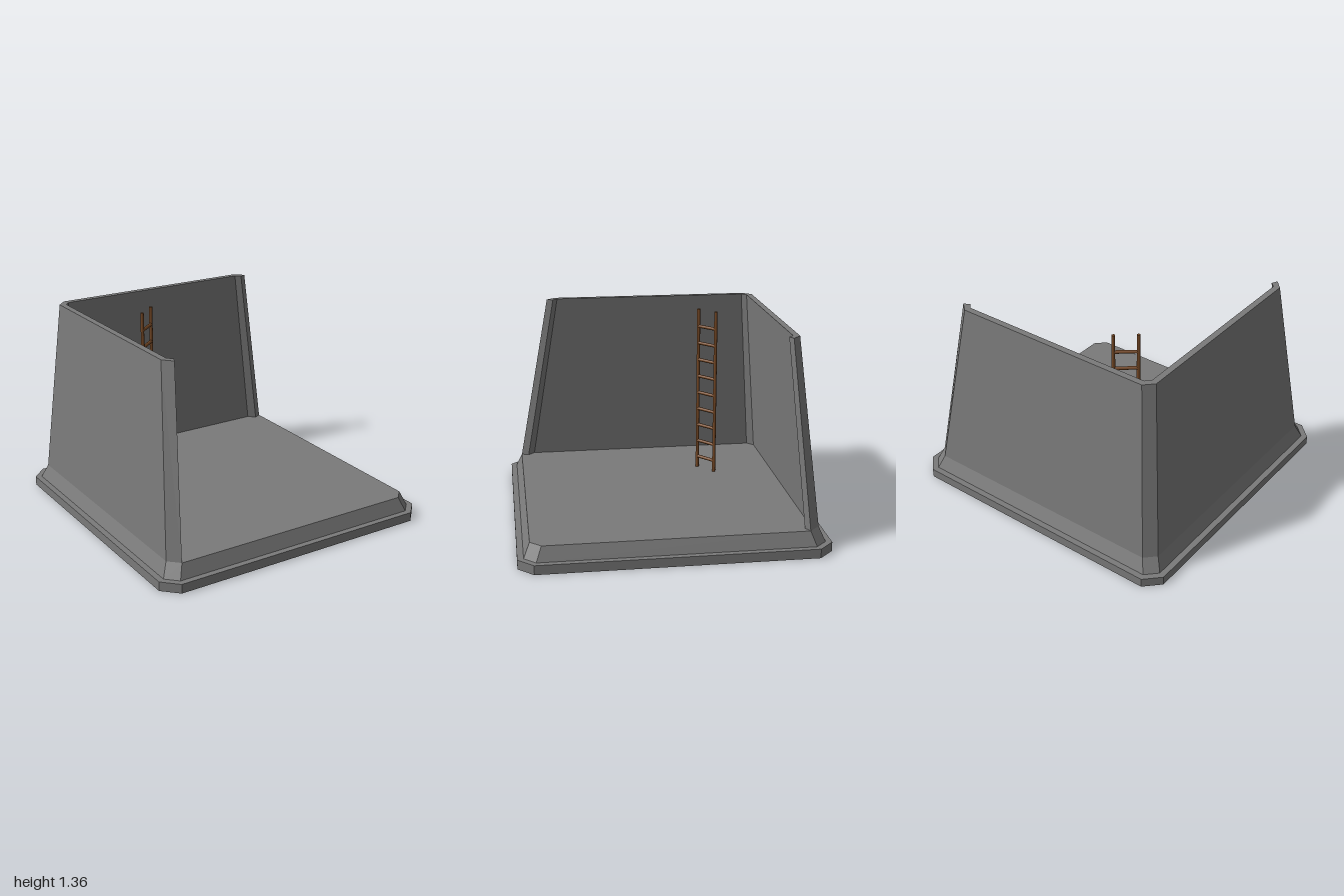
import * as THREE from 'three';

const FLOOR = 0.155, WALL_TOP = 1.357;

// Closed, capped solid through equal-length point loops (loops turn counter-clockwise along the sweep)
function loft(sections) {
  const pos = [];
  const tri = (a, b, c) => pos.push(...a, ...b, ...c);
  const n = sections[0].length;
  for (let s = 0; s < sections.length - 1; s++) {
    for (let i = 0; i < n; i++) {
      const j = (i + 1) % n, p = sections[s], q = sections[s + 1];
      tri(p[i], p[j], q[j]);
      tri(p[i], q[j], q[i]);
    }
  }
  const first = sections[0], last = sections[sections.length - 1];
  for (let i = 1; i < n - 1; i++) {
    tri(first[0], first[i + 1], first[i]);
    tri(last[0], last[i], last[i + 1]);
  }
  const g = new THREE.BufferGeometry();
  g.setAttribute('position', new THREE.Float32BufferAttribute(pos, 3));
  g.computeVertexNormals();
  return g;
}

// Square with cut corners: half width h, corner start c
const octagon = (y, h, c) =>
  [[c, h], [h, c], [h, -c], [c, -h], [-c, -h], [-h, -c], [-h, c], [-c, h]].map(([x, z]) => [x, y, z]);

export function createModel() {
  const model = new THREE.Group();
  const stone = new THREE.MeshStandardMaterial({ color: 0x7a7a7a, flatShading: true });
  const wood = new THREE.MeshStandardMaterial({ color: 0x744724 });

  const add = (parent, name, geometry, material) => {
    const mesh = new THREE.Mesh(geometry, material);
    mesh.name = name;
    parent.add(mesh);
    return mesh;
  };

  // Plinth with a ledge and a sloped upper edge
  add(model, 'base', loft([
    octagon(0, 1, 0.9), octagon(0.062, 1, 0.9),
    octagon(0.062, 0.96, 0.885), octagon(FLOOR, 0.92, 0.85),
  ]), stone);

  // Leaning back and right walls: outer bottom, inner bottom, inner top, outer top (x, z)
  const half = [
    [[0.92, -0.85], [0.87, -0.825], [0.66, -0.735], [0.703, -0.755]],
    [[0.85, -0.92], [0.825, -0.87], [0.628, -0.768], [0.64, -0.81]],
    [[-0.85, -0.92], [-0.825, -0.87], [-0.735, -0.768], [-0.75, -0.81]],
  ];
  // The second wall mirrors the first across the corner diagonal
  const mirrored = half.map(s => s.map(([x, z]) => [z, x])).reverse();
  const heights = [FLOOR, FLOOR, WALL_TOP, WALL_TOP];
  add(model, 'walls', loft([...half, ...mirrored].map(s =>
    s.map(([x, z], i) => [x, heights[i], z]))), stone);

  // Upright ladder, turned to face the open corner
  const ladder = new THREE.Group();
  ladder.name = 'ladder';
  const dx = 0.122, dz = -0.1, width = Math.hypot(dx, dz);
  ladder.position.set(-0.331, FLOOR, -0.4);
  ladder.rotation.y = Math.atan2(-dz, dx);
  model.add(ladder);

  const railHeight = 1.177;
  for (const side of [-1, 1]) {
    add(ladder, 'ladderRail', new THREE.CylinderGeometry(0.012, 0.012, railHeight, 10), wood)
      .position.set(side * width / 2, railHeight / 2, 0);
  }
  for (let i = 0; i < 9; i++) {
    const rung = add(ladder, 'ladderRung', new THREE.CylinderGeometry(0.0115, 0.0115, width, 10), wood);
    rung.rotation.z = Math.PI / 2;
    rung.position.y = 0.081 + i * 0.1215;
  }
  return model;
}
